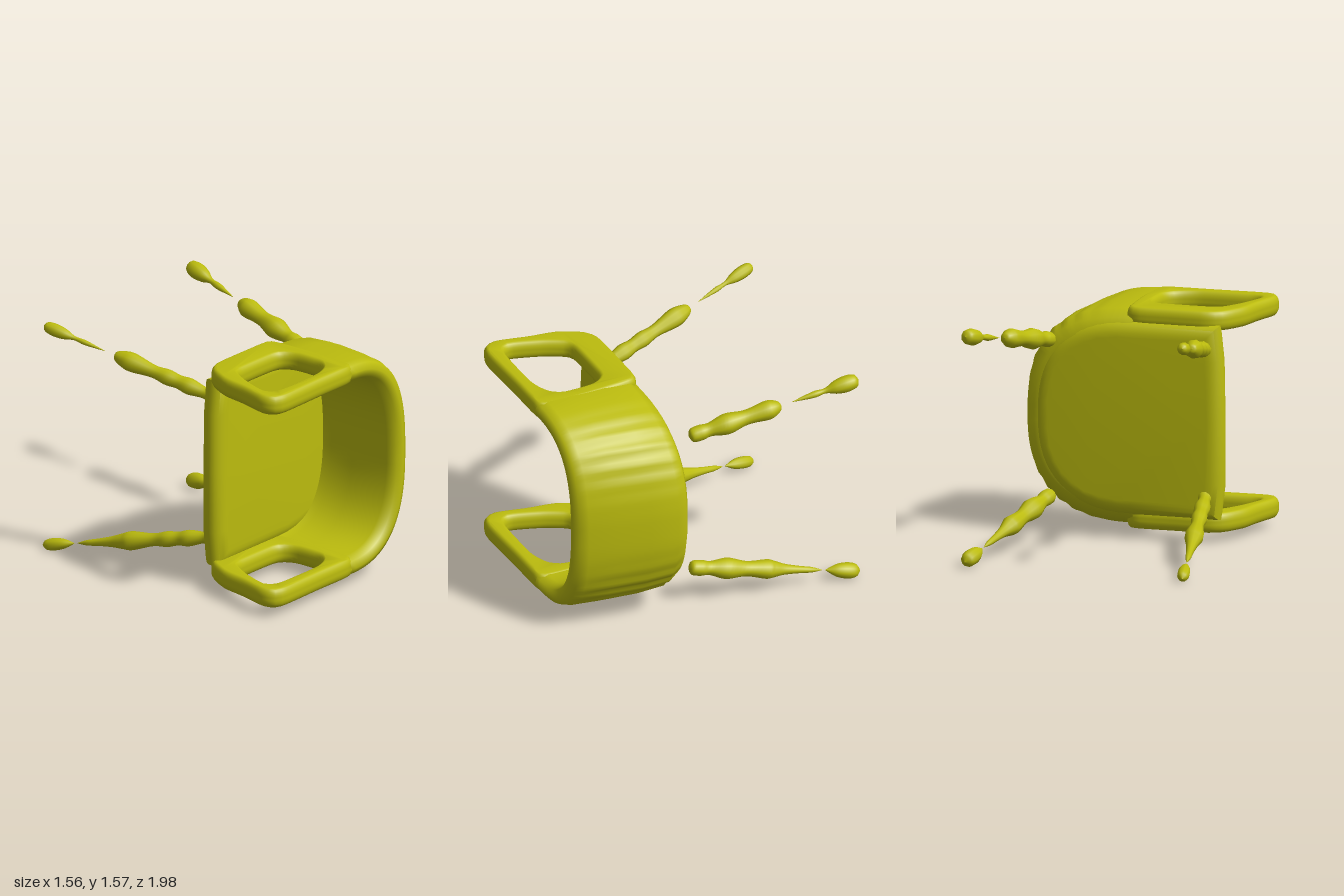
import * as THREE from 'three';
import { mergeVertices, toCreasedNormals } from 'three/addons/utils/BufferGeometryUtils.js';

const MID = 0.79; // height of the mirror plane
const material = new THREE.MeshStandardMaterial({ color: 0xbcbc0e, side: THREE.DoubleSide });

function part(group, name, geometry) {
  const mesh = new THREE.Mesh(geometry, material);
  mesh.name = name;
  group.add(mesh);
  return mesh;
}

function soften(geometry) {
  geometry.deleteAttribute('uv');
  geometry.deleteAttribute('normal');
  return toCreasedNormals(mergeVertices(geometry, 1e-4), 0.8);
}

// Half of a rounded square, from (0, -b) round to (0, b)
function roundedBow(a, b, t) {
  const p = 2 / 2.6;
  const c = Math.max(0, Math.cos(t)), s = Math.sin(t);
  return [a * Math.pow(c, p), b * Math.sign(s) * Math.pow(Math.abs(s), p)];
}

// Curved backrest: a closed cross-section [z, reach in x, half height] swept round the bow
function backrestGeometry() {
  const section = [
    [0.215, 0.58, 0.54], [0.215, 0.66, 0.59], [0.25, 0.715, 0.655], [0.32, 0.735, 0.705], [0.5, 0.705, 0.725],
    [0.72, 0.65, 0.73], [0.9, 0.597, 0.73], [0.955, 0.57, 0.715], [0.98, 0.52, 0.675],
    [0.965, 0.47, 0.625], [0.9, 0.447, 0.605], [0.6, 0.46, 0.605], [0.42, 0.47, 0.605], [0.34, 0.45, 0.6], [0.27, 0.45, 0.58],
  ];
  const steps = 72, m = section.length, pos = [], index = [];
  for (let i = 0; i <= steps; i++) {
    const t = -Math.PI / 2 + (Math.PI * i) / steps;
    section.forEach(([z, a, b], j) => {
      // soft ripples on the outer corners
      const ripple = j > 2 && j < 6 ? 0.006 * Math.sin(t * 34) * Math.sin(2 * t) ** 2 : 0;
      const [x, y] = roundedBow(a + ripple, b + ripple, t);
      pos.push(x, y + MID, z);
    });
  }
  for (let i = 0; i < steps; i++) {
    for (let j = 0; j < m; j++) {
      const k = (j + 1) % m;
      const p = i * m + j, q = (i + 1) * m + j, r = i * m + k, s = (i + 1) * m + k;
      index.push(p, q, r, q, s, r);
    }
  }
  const g = new THREE.BufferGeometry();
  g.setAttribute('position', new THREE.Float32BufferAttribute(pos, 3));
  g.setIndex(index);
  g.computeVertexNormals();
  return g;
}

// Seat panel with broadly rounded edges
function seatGeometry() {
  const pts = [[-0.49, 0.54], [-0.505, 0.4], [-0.512, 0], [-0.512, -0.4], [-0.495, -0.54]];
  for (let i = 0; i <= 32; i++) pts.push(roundedBow(0.57, 0.54, -Math.PI / 2 + (Math.PI * i) / 32));
  const shape = new THREE.Shape(pts.map(([x, y]) => new THREE.Vector2(x, y)));
  const g = new THREE.ExtrudeGeometry(shape, {
    depth: 0.015, bevelThickness: 0.075, bevelSize: 0.1, bevelSegments: 6,
  });
  g.translate(0, MID, 0.272);
  return soften(g);
}

// Arm frame: outline and opening drawn in x and z, given a rounded thickness
function armGeometry() {
  const curve = (pts) => new THREE.CatmullRomCurve3(
    pts.map(([x, z]) => new THREE.Vector3(x, z, 0)), true, 'catmullrom', 0.35)
    .getSpacedPoints(56).slice(0, -1).map((p) => new THREE.Vector2(p.x, p.y));
  const shape = new THREE.Shape(curve([
    [-0.2, 0.24], [0, 0.245], [0.055, 0.3], [0.07, 0.6], [0.055, 0.9], [0, 0.97], [-0.3, 0.975],
    [-0.66, 0.982], [-0.755, 0.95], [-0.782, 0.86], [-0.73, 0.65], [-0.695, 0.47], [-0.61, 0.31], [-0.5, 0.245],
  ]));
  shape.holes.push(new THREE.Path(curve([
    [-0.53, 0.48], [-0.47, 0.45], [-0.15, 0.45], [-0.085, 0.475], [-0.05, 0.55], [-0.055, 0.74],
    [-0.11, 0.82], [-0.25, 0.865], [-0.6, 0.865], [-0.67, 0.83], [-0.66, 0.76], [-0.6, 0.6],
  ].reverse())));
  const g = new THREE.ExtrudeGeometry(shape, {
    depth: 0.02, bevelThickness: 0.055, bevelSize: 0.032, bevelOffset: -0.032, bevelSegments: 6,
  });
  g.translate(0, 0, -0.01);
  g.rotateX(Math.PI / 2);
  return soften(g);
}

// Beaded leg piece: [z, radius] list turned round the splayed leg line
function addLegPiece(leg, name, side, level, beads) {
  const slope = (side > 0 ? 0.215 : 0.23) - (level > 0 ? 0.015 : 0);
  const spread = side > 0 ? 0.2 : 0.193;
  const at = (z) => new THREE.Vector3(
    side * (0.53 + (0.05 - z) * spread), MID + level * (0.525 + (0.05 - z) * slope), z);
  const start = at(beads[0][0]);
  const end = at(beads[beads.length - 1][0]);
  const profile = new THREE.SplineCurve(
    beads.map(([z, r]) => new THREE.Vector2(r, at(z).distanceTo(start)))).getPoints(beads.length * 5);
  profile.forEach((p) => { p.x = Math.max(p.x, 0.001); });
  const mesh = part(leg, name, new THREE.LatheGeometry(profile, 10));
  mesh.position.copy(start);
  mesh.quaternion.setFromUnitVectors(new THREE.Vector3(0, 1, 0), end.sub(start).normalize());
}

export function createModel() {
  const model = new THREE.Group();
  model.name = 'armchair';
  part(model, 'backrest', backrestGeometry());
  part(model, 'seat', seatGeometry());

  const arm = armGeometry();
  for (const level of [1, -1]) {
    const mesh = part(model, level > 0 ? 'upperArm' : 'lowerArm', arm);
    mesh.position.y = MID + level * 0.665;
  }

  for (const level of [1, -1]) {
    for (const side of [1, -1]) {
      const leg = new THREE.Group();
      leg.name = (level > 0 ? 'upper' : 'lower') + (side > 0 ? 'LeftLeg' : 'RightLeg');
      // the legs on the -x side join the seat, the others start just behind it
      const shaft = side > 0
        ? [[0.13, 0.001], [0.11, 0.045], [0.05, 0.052], [-0.01, 0.046], [-0.12, 0.07], [-0.25, 0.05], [-0.38, 0.064], [-0.43, 0.055]]
        : [[0.24, 0.06], [0.17, 0.038], [0.06, 0.054], [-0.02, 0.045], [-0.1, 0.052], [-0.2, 0.042], [-0.35, 0.062], [-0.42, 0.052]];
      const k = side > 0 ? 1 : 0.76;
      const foot = (beads) => beads.map(([z, r]) => [z, r * k]);
      if (level > 0) {
        addLegPiece(leg, 'shaft', side, level, [...shaft, [-0.47, 0.03], [-0.48, 0.001]]);
        addLegPiece(leg, 'foot', side, level, foot([[-0.55, 0.001], [-0.62, 0.012], [-0.7, 0.022],
          [-0.77, 0.018], [-0.84, 0.045], [-0.91, 0.055], [-0.97, 0.042], [-0.99, 0.001]]));
      } else {
        addLegPiece(leg, 'shaft', side, level, [...shaft, [-0.5, 0.036],
          [-0.6, 0.024], [-0.68, 0.018], [-0.75, 0.001]]);
        addLegPiece(leg, 'foot', side, level, foot([[-0.77, 0.001], [-0.84, 0.04], [-0.91, 0.053],
          [-0.97, 0.043], [-1, 0.001]]));
      }
      model.add(leg);
    }
  }
  return model;
}
